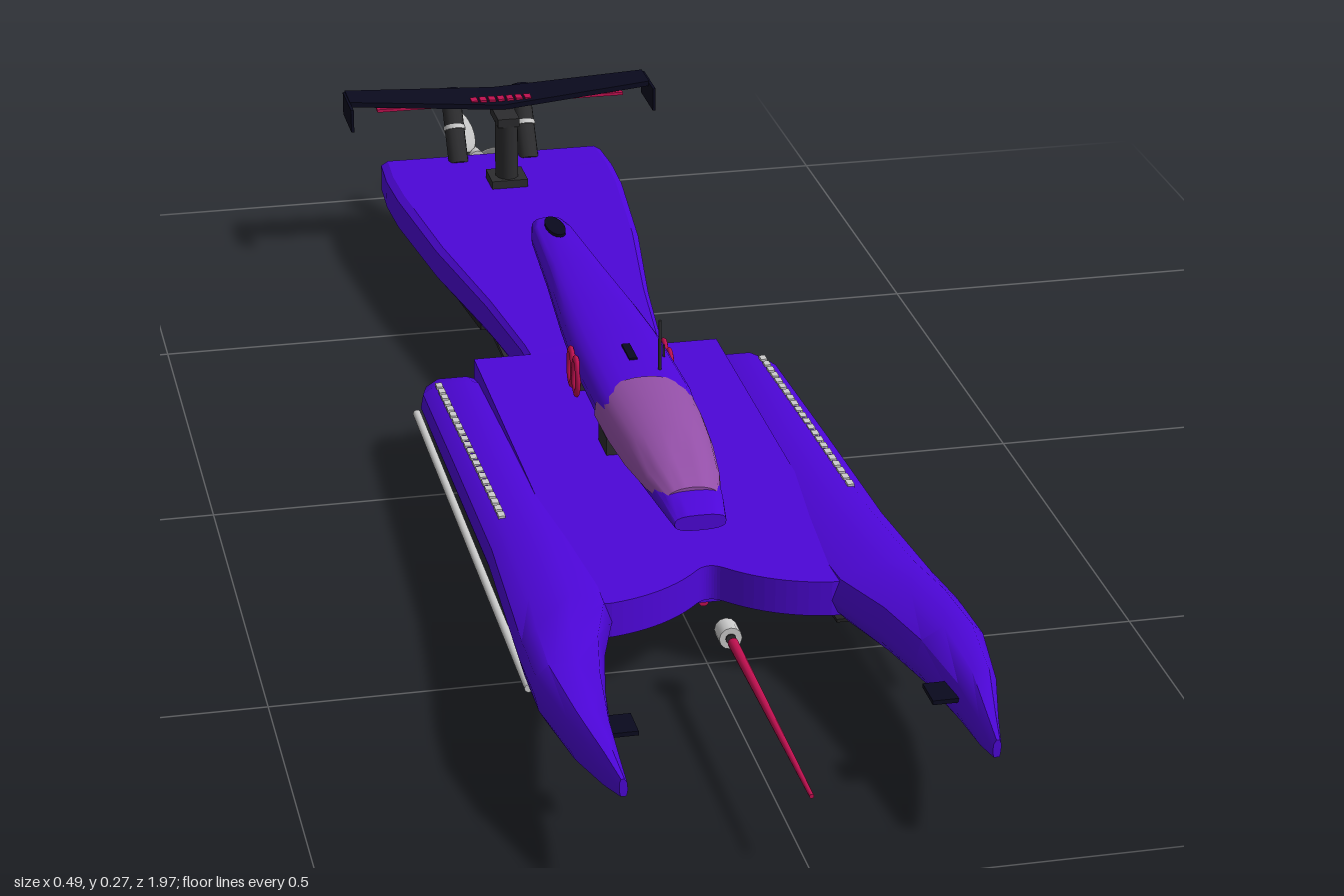
import * as THREE from 'three';
import { toCreasedNormals } from 'three/addons/utils/BufferGeometryUtils.js';

const mat = (name, color) => Object.assign(new THREE.MeshStandardMaterial({ color }), { name });
const M = {
  hull: mat('violet paint', 0x4d06d8),
  canopy: mat('mauve glass', 0x9450a8),
  black: mat('navy black', 0x0a0a1e),
  dark: mat('dark grey', 0x2c2c2e),
  panel: mat('bottom panel grey', 0x222222),
  metal: mat('light metal', 0xcccccc),
  crimson: mat('crimson', 0xc01050),
};

// Skin through rings (counter-clockwise seen from +z), ordered from front to back
function loft(rings, crease = 0.6) {
  const n = rings[0].length, pos = rings.flat(2), idx = [], last = (rings.length - 1) * n;
  for (let s = 0; s < rings.length - 1; s++)
    for (let i = 0; i < n; i++) {
      const a = s * n + i, b = s * n + (i + 1) % n;
      idx.push(a, a + n, b, b, a + n, b + n);
    }
  for (let i = 1; i < n - 1; i++) idx.push(0, i, i + 1, last, last + i + 1, last + i);
  const g = new THREE.BufferGeometry();
  g.setAttribute('position', new THREE.Float32BufferAttribute(pos, 3));
  g.setIndex(idx);
  return toCreasedNormals(g, crease);
}

const mirrorRing = (ring, s) => s > 0 ? ring : ring.map(([x, y, z]) => [-x, y, z]).reverse();

// Level plate through rows of [z, inner x, outer x]
const plate = (rows, y, h, s = 1) => loft(rows.map(([z, i, o]) =>
  mirrorRing([[i, y, z], [o, y, z], [o, y + h, z], [i, y + h, z]], s)));

export function createModel() {
  const model = new THREE.Group();
  model.name = 'raceBoat';
  const add = (name, geo, material, x = 0, y = 0, z = 0) => {
    const m = new THREE.Mesh(geo, material);
    m.name = name;
    m.position.set(x, y, z);
    model.add(m);
    return m;
  };
  const box = (name, material, w, h, d, x, y, z) => add(name, new THREE.BoxGeometry(w, h, d), material, x, y, z);
  // Round bar between two points, r2 is the radius at the far end
  const rod = (name, material, a, b, r, r2 = r) => {
    const A = new THREE.Vector3(...a), B = new THREE.Vector3(...b), d = B.clone().sub(A);
    const m = add(name, new THREE.CylinderGeometry(r2, r, d.length(), 12), material);
    m.position.copy(A).add(B).multiplyScalar(0.5);
    m.quaternion.setFromUnitVectors(new THREE.Vector3(0, 1, 0), d.normalize());
    return m;
  };

  // Rear centre hull: z, half width, bottom, top
  const hull = [
    [0.15, 0.06, 0.09, 0.118], [0, 0.08, 0.072, 0.122], [-0.15, 0.09, 0.069, 0.125], [-0.3, 0.107, 0.064, 0.124],
    [-0.5, 0.137, 0.058, 0.122], [-0.7, 0.157, 0.053, 0.12], [-0.78, 0.16, 0.052, 0.118], [-0.845, 0.157, 0.052, 0.117]];
  add('centreHull', loft(hull.map(([z, w, b, t]) => [
    [-w * 0.85, b, z], [w * 0.85, b, z], [w, b + 0.022, z], [w, t - 0.006, z], [w * 0.94, t, z],
    [-w * 0.94, t, z], [-w, t - 0.006, z], [-w, b + 0.022, z]]), 0.4), M.hull);

  // Level bottom panel with a violet planing pad behind it
  add('hullBottomPanel', plate([[-0.38, -0.1, 0.1], [-0.55, -0.118, 0.118], [-0.74, -0.13, 0.13]], 0.05, 0.009), M.panel);
  add('planingPad', plate([[-0.6, -0.02, 0.02], [-0.63, -0.055, 0.055], [-0.69, -0.085, 0.085], [-0.76, -0.1, 0.1],
    [-0.845, -0.1, 0.1]], 0.047, 0.006), M.hull);

  // Deck between the sponsons, with a scooped front edge
  const outline = new THREE.Shape();
  outline.moveTo(-0.155, 0.12);
  outline.lineTo(0.155, 0.12);
  outline.lineTo(0.155, -0.57);
  outline.lineTo(0.125, -0.57);
  outline.quadraticCurveTo(0.06, -0.56, 0.015, -0.51);
  outline.quadraticCurveTo(0, -0.495, -0.015, -0.51);
  outline.quadraticCurveTo(-0.06, -0.56, -0.125, -0.57);
  outline.lineTo(-0.155, -0.57);
  const deck = new THREE.ExtrudeGeometry(outline, { depth: 0.042, bevelEnabled: false, curveSegments: 10 });
  deck.rotateX(-Math.PI / 2);
  add('deck', deck, M.hull, 0, 0.083, 0);
  // Faceted beam under the deck nose
  add('noseBeam', loft([[0.49, 0.074, 0.085], [0.3, 0.06, 0.087], [0.1, 0.06, 0.083]].map(([z, w, b]) => [
    [-w, b, z], [-w * 0.75, b - 0.012, z], [w * 0.75, b - 0.012, z], [w, b, z], [w, 0.12, z], [-w, 0.12, z]])), M.hull);

  // Sponsons: z, inner x, outer x, bottom, top
  const sponson = [
    [0.965, 0.192, 0.201, 0.11, 0.13], [0.92, 0.189, 0.212, 0.1, 0.138], [0.85, 0.184, 0.231, 0.093, 0.149],
    [0.75, 0.17, 0.247, 0.086, 0.153], [0.66, 0.152, 0.246, 0.08, 0.15], [0.57, 0.125, 0.241, 0.075, 0.142],
    [0.4, 0.116, 0.232, 0.066, 0.133], [0.15, 0.116, 0.23, 0.056, 0.122], [-0.09, 0.118, 0.228, 0.049, 0.108],
    [-0.125, 0.128, 0.218, 0.053, 0.1]];
  for (const s of [1, -1]) {
    add('sponson', loft(sponson.map(([z, i, o, b, t]) => {
      const w = o - i, h = t - b;
      return mirrorRing([
        [i + w * 0.16, b, z], [o - w * 0.16, b, z], [o - w * 0.06, b + h * 0.2, z], [o, b + h * 0.5, z],
        [o - w * 0.03, b + h * 0.8, z], [o - w * 0.2, t, z], [i + w * 0.4, t, z], [i + w * 0.08, b + h * 0.78, z],
        [i, b + h * 0.4, z], [i + w * 0.06, b + h * 0.18, z]], s);
    }), 0.8), M.hull);
    add('sponsonBottomPanel', plate([[0.52, 0.145, 0.21], [0.4, 0.138, 0.212], [-0.08, 0.138, 0.21]], 0.047, 0.004, s), M.panel);
    rod('sideRail', M.metal, [s * 0.23, 0.062, 0.63], [s * 0.23, 0.062, -0.11], 0.005);
    box('bowCanard', M.black, 0.03, 0.005, 0.04, s * 0.173, 0.122, 0.84);
    box('hullStrake', M.dark, 0.012, 0.006, 0.27, s * 0.085, 0.058, -0.235);

    // Rows of deck studs
    for (let k = 0; k < 22; k++) {
      const z = -0.08 + k * 0.02;
      box('deckStud', M.metal, 0.008, 0.004, 0.013, s * 0.206, 0.1095 + (z + 0.09) * 0.051, z);
    }

    // Cockpit mounts and the pairs of rings on its flanks
    for (const z of [0.17, -0.02]) box('podMount', M.dark, 0.024, 0.026, 0.045, s * 0.04, 0.134, z);
    for (const z of [0.012, 0.042]) {
      const ring = add('flankRing', new THREE.TorusGeometry(0.016, 0.0045, 8, 20), M.crimson, s * 0.058, 0.163, z);
      ring.rotation.y = Math.PI / 2;
      ring.scale.set(0.75, 1.35, 0.8);
    }

    // Rear wing end plates, exhausts and trim tabs
    box('wingEndPlate', M.black, 0.004, 0.032, 0.075, s * 0.211, 0.22, -0.775);
    rod('exhaustPipe', M.dark, [s * 0.05, 0.112, -0.825], [s * 0.05, 0.195, -0.885], 0.014);
    rod('exhaustBand', M.metal, [s * 0.05, 0.152, -0.854], [s * 0.05, 0.157, -0.8575], 0.0155);
    rod('exhaustTip', M.metal, [s * 0.05, 0.183, -0.8765], [s * 0.05, 0.19, -0.8815], 0.0155);
    rod('exhaustMouth', M.black, [s * 0.05, 0.194, -0.884], [s * 0.05, 0.2, -0.8885], 0.014);
    box('trimTab', M.metal, 0.08, 0.012, 0.03, s * 0.075, 0.085, -0.862);
  }

  // Cockpit pod: z, half width, bottom, top
  const oval = (z, w, b, t) => Array.from({ length: 20 }, (_, k) => {
    const a = k * Math.PI / 10, c = Math.cos(a), q = Math.sin(a);
    const f = v => Math.sign(v) * Math.abs(v) ** 0.7;
    return [w * f(c), (b + t) / 2 + (t - b) / 2 * f(q), z];
  });
  add('cockpitPod', loft([
    [0.46, 0.03, 0.149, 0.168], [0.42, 0.036, 0.147, 0.18], [0.3, 0.05, 0.146, 0.19], [0.16, 0.058, 0.144, 0.206],
    [0, 0.056, 0.143, 0.204], [-0.1, 0.05, 0.145, 0.2], [-0.25, 0.038, 0.147, 0.193], [-0.4, 0.028, 0.148, 0.185],
    [-0.43, 0.022, 0.15, 0.182]].map(p => oval(...p)), 0.7), M.hull);
  add('canopy', loft([
    [0.42, 0.032, 0.166, 0.184], [0.37, 0.044, 0.164, 0.198], [0.3, 0.053, 0.162, 0.208], [0.23, 0.058, 0.162, 0.212],
    [0.16, 0.06, 0.164, 0.2085]].map(([z, w, b, t]) => Array.from({ length: 15 }, (_, k) => {
    const a = k * Math.PI / 14;
    return [w * Math.cos(a), b + (t - b) * Math.sin(a) ** 0.75, z];
  })), 0.7), M.canopy);
  // Oval air vent at the tail of the pod
  const vent = add('rearVent', new THREE.CylinderGeometry(0.012, 0.012, 0.006, 16), M.black, 0, 0.1865, -0.38);
  vent.scale.z = 3.2;
  vent.rotation.x = -0.055;
  box('roofHatch', M.black, 0.01, 0.004, 0.045, 0, 0.2055, 0.08);
  rod('aerial', M.dark, [0.025, 0.195, 0.135], [0.025, 0.268, 0.135], 0.002);
  rod('shortAerial', M.dark, [0.04, 0.19, 0.09], [0.04, 0.216, 0.09], 0.0015);

  // Rear wing, bent upward and tapered to the tips
  const wing = new THREE.BoxGeometry(0.42, 0.007, 0.075, 8, 1, 1), p = wing.attributes.position;
  for (let i = 0; i < p.count; i++) {
    const u = Math.abs(p.getX(i)) / 0.21;
    p.setY(i, p.getY(i) + 0.012 * u);
    p.setZ(i, p.getZ(i) * (1 - 0.35 * u) - 0.008 * u);
  }
  wing.computeVertexNormals();
  add('rearWing', toCreasedNormals(wing, 0.6), M.black, 0, 0.222, -0.782);
  box('wingStripe', M.crimson, 0.345, 0.004, 0.012, 0, 0.2225, -0.77);
  for (let k = -3; k <= 3; k++) box('wingMark', M.crimson, 0.009, 0.003, 0.016, k * 0.0125, 0.228, -0.765);
  box('wingBracket', M.dark, 0.03, 0.012, 0.06, 0, 0.213, -0.735);
  const post = rod('wingPost', M.dark, [0, 0.118, -0.725], [0, 0.21, -0.725], 0.016);
  post.scale.z = 1.3;
  box('wingPostBase', M.dark, 0.05, 0.014, 0.05, 0, 0.124, -0.725);

  // Slim rudder and propeller
  box('rudder', M.dark, 0.007, 0.04, 0.115, 0, 0.05, -0.8825);
  rod('propellerShaft', M.dark, [0, 0.068, -0.84], [0, 0.068, -0.99], 0.005);
  rod('propellerHub', M.metal, [0, 0.068, -0.955], [0, 0.068, -1], 0.012, 0.005);
  for (let k = 0; k < 3; k++) {
    const arm = new THREE.Group();
    arm.name = 'propellerBlade';
    arm.position.set(0, 0.068, -0.975);
    arm.rotation.z = THREE.MathUtils.degToRad(-122 + k * 120);
    const blade = new THREE.Mesh(new THREE.SphereGeometry(1, 14, 10), M.metal);
    blade.name = 'blade';
    blade.scale.set(0.036, 0.022, 0.003);
    blade.position.x = 0.042;
    blade.rotation.x = 0.75;
    arm.add(blade);
    model.add(arm);
  }

  // Bow probe, inner drive line and keel fin
  rod('probeCollar', M.metal, [0, 0.088, 0.585], [0, 0.088, 0.61], 0.013);
  rod('probeSocket', M.dark, [0, 0.088, 0.609], [0, 0.088, 0.612], 0.006);
  rod('bowProbe', M.crimson, [0, 0.088, 0.62], [0, 0.088, 0.967], 0.006, 0.0025);
  rod('driveLine', M.crimson, [0, 0.069, 0.48], [0, 0.066, 0.1], 0.006);
  box('keelFin', M.dark, 0.006, 0.042, 0.07, -0.173, 0.042, 0.13);
  return model;
}
